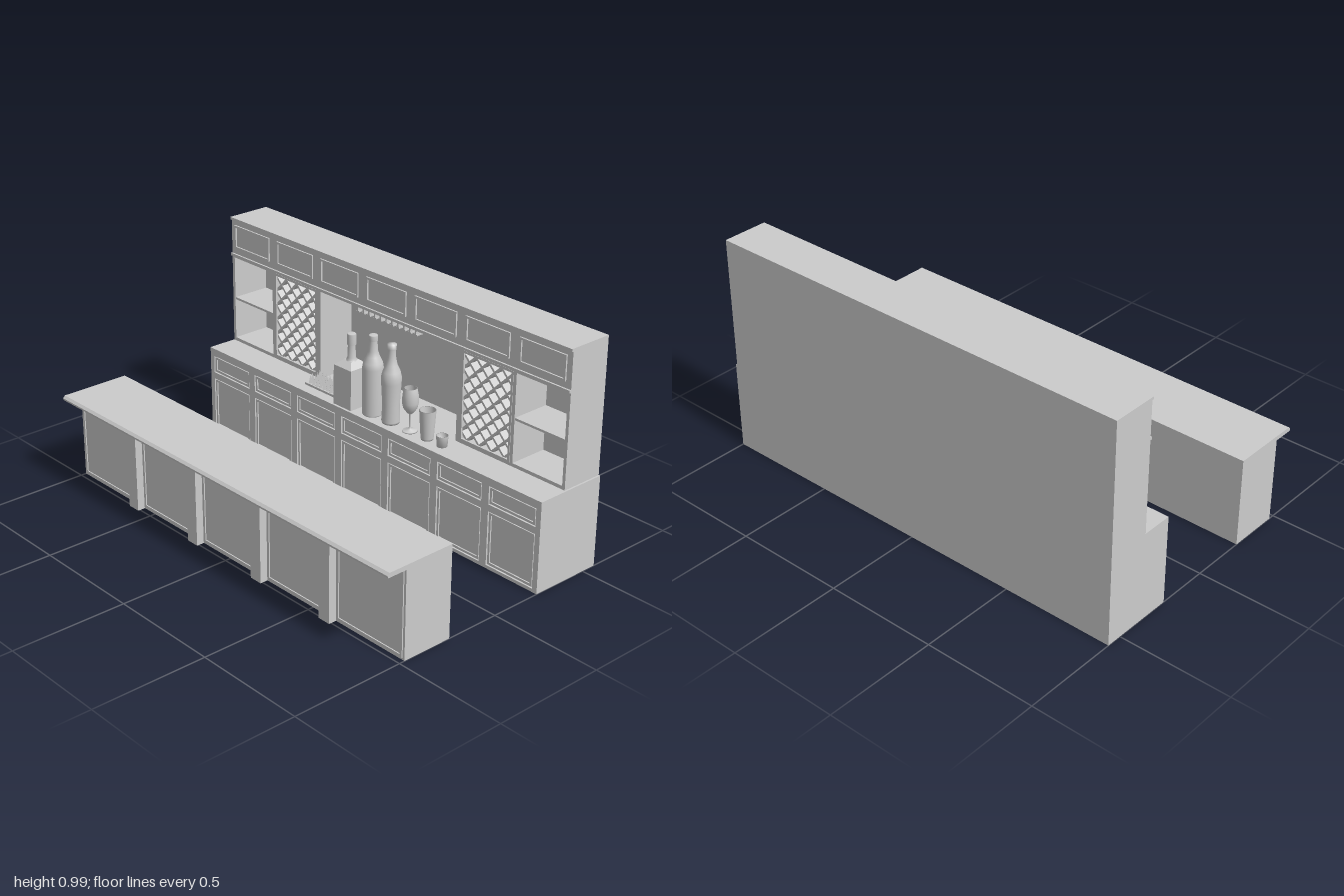
import * as THREE from 'three';

const mat = new THREE.MeshStandardMaterial({ color: 0xcccccc, side: THREE.DoubleSide });

function add(parent, name, geo, x = 0, y = 0, z = 0) {
  const m = new THREE.Mesh(geo, mat);
  m.name = name;
  m.position.set(x, y, z);
  parent.add(m);
  return m;
}

// Box given by its limits on each axis
function box(parent, name, x0, x1, y0, y1, z0, z1) {
  return add(parent, name, new THREE.BoxGeometry(x1 - x0, y1 - y0, z1 - z0),
    (x0 + x1) / 2, (y0 + y1) / 2, (z0 + z1) / 2);
}

// Box without its underside
function shell(parent, name, ...limits) {
  const m = box(parent, name, ...limits);
  const index = Array.from(m.geometry.index.array);
  index.splice(18, 6);
  m.geometry.setIndex(index);
  return m;
}

function rectPath(Type, [x0, x1, y0, y1]) {
  const p = new Type();
  p.moveTo(x0, y0);
  p.lineTo(x1, y0);
  p.lineTo(x1, y1);
  p.lineTo(x0, y1);
  p.closePath();
  return p;
}

// Flat board with rectangular openings, from z0 to z1
function board(parent, name, outer, holes, z0, z1) {
  const s = rectPath(THREE.Shape, outer);
  s.holes = holes.map((h) => rectPath(THREE.Path, h));
  const geo = new THREE.ExtrudeGeometry(s, { depth: z1 - z0, bevelEnabled: false });
  return add(parent, name, geo, 0, 0, z0);
}

function frame(parent, name, [x0, x1, y0, y1], t, z0, z1) {
  return board(parent, name, [x0, x1, y0, y1], [[x0 + t, x1 - t, y0 + t, y1 - t]], z0, z1);
}

function lathe(parent, name, pts, x, z) {
  const curve = pts.map(([r, y]) => new THREE.Vector2(r, y));
  return add(parent, name, new THREE.LatheGeometry(curve, 32), x, 0.4, z);
}

function group(parent, name) {
  const g = new THREE.Group();
  g.name = name;
  parent.add(g);
  return g;
}

// Front serving bar with overhanging top, framed panels and pilasters
function buildBar(root) {
  const bar = group(root, 'servingBar');
  shell(bar, 'barBody', -1, 1, 0, 0.385, 0.245, 0.475);
  const top = new THREE.Shape();
  [[0.245, 0.38], [0.565, 0.38], [0.568, 0.39], [0.558, 0.4], [0.245, 0.4]]
    .forEach(([z, y], i) => (i ? top.lineTo(-z, y) : top.moveTo(-z, y)));
  const topGeo = new THREE.ExtrudeGeometry(top, { depth: 2, bevelEnabled: false });
  add(bar, 'barTop', topGeo, -1).rotation.y = Math.PI / 2;
  for (let i = 0; i < 5; i++) {
    const c = (i - 2) * 0.4;
    const x0 = i === 0 ? -0.99 : c - 0.165;
    const x1 = i === 4 ? 0.99 : c + 0.165;
    frame(bar, 'barPanelFrame', [x0, x1, 0.01, 0.37], 0.012, 0.47, 0.48);
    if (i < 4) box(bar, 'pilaster', c + 0.17, c + 0.23, 0, 0.38, 0.47, 0.51);
  }
}

// Lower back cabinet with seven drawers above seven doors
function buildBase(root) {
  const base = group(root, 'backCabinetBase');
  shell(base, 'baseBody', -1, 1, 0, 0.4, -0.568, -0.24);
  box(base, 'counterEdge', -1, 1, 0.385, 0.4, -0.25, -0.232);
  const openings = [];
  for (let i = 0; i < 7; i++) {
    const c = (i - 3) * 0.284;
    openings.push([c - 0.123, c + 0.123, 0.285, 0.365], [c - 0.123, c + 0.123, 0.015, 0.255]);
  }
  board(base, 'faceFrame', [-1, 1, 0, 0.385], openings, -0.242, -0.232);
  openings.forEach(([x0, x1, y0, y1], i) => {
    const inner = [x0 + 0.005, x1 - 0.005, y0 + 0.005, y1 - 0.005];
    frame(base, i % 2 ? 'doorFrame' : 'drawerFrame', inner, 0.01, -0.242, -0.234);
  });
}

// Diagonal bottle lattice clipped to a rectangle
function buildLattice(parent, x0, x1, y0, y1) {
  const rack = group(parent, 'bottleLattice');
  const w = x1 - x0, h = y1 - y0, step = 0.068;
  for (let c = -w + step / 2; c < h; c += step) {
    const a = Math.max(0, -c), b = Math.min(w, h - c);
    if (b - a < 0.01) continue;
    for (const dir of [1, -1]) {
      const mid = (a + b) / 2;
      const geo = new THREE.BoxGeometry((b - a) * Math.SQRT2, 0.01, 0.165);
      const x = dir > 0 ? x0 + mid : x1 - mid;
      add(rack, 'latticeSlat', geo, x, y0 + mid + c, -0.458).rotation.z = dir * Math.PI / 4;
    }
  }
  frame(rack, 'latticeFrame', [x0 - 0.004, x1 + 0.004, y0 - 0.004, y1 + 0.004], 0.01, -0.38, -0.368);
}

// Upper cabinet: side shelves, lattices, central niche and framed top panels
function buildUpper(root) {
  const up = group(root, 'backCabinetUpper');
  const holes = [
    [-0.985, -0.725, 0.415, 0.8], [-0.705, -0.435, 0.415, 0.8], [-0.41, 0.41, 0.4, 0.81],
    [0.435, 0.7, 0.415, 0.8], [0.72, 0.978, 0.415, 0.8],
  ];
  board(up, 'upperCarcass', [-1, 0.992, 0.386, 0.988], holes, -0.55, -0.37);
  box(up, 'upperBack', -1, 0.992, 0.39, 0.988, -0.568, -0.55);
  box(up, 'cornice', -1, 0.992, 0.976, 0.988, -0.372, -0.362);
  box(up, 'lowerMoulding', -1, 0.992, 0.808, 0.82, -0.372, -0.362);
  for (const h of [holes[0], holes[4]]) box(up, 'shelf', h[0], h[1], 0.6, 0.61, -0.55, -0.372);
  for (const h of [holes[1], holes[3]]) buildLattice(up, ...h);
  for (let i = 0; i < 7; i++) {
    const c = -0.005 + (i - 3) * 0.2845;
    frame(up, 'topPanelFrame', [c - 0.117, c + 0.117, 0.848, 0.955], 0.009, -0.375, -0.363);
  }
  // T-shaped rails for hanging stemware
  for (let i = 0; i < 11; i++) {
    const x = -0.18 + i * 0.0345;
    box(up, 'hangerStem', x - 0.004, x + 0.004, 0.785, 0.812, -0.52, -0.372);
    box(up, 'hangerLip', x - 0.008, x + 0.008, 0.78, 0.786, -0.52, -0.372);
  }
}

// Spiked drying mat, bottles and glasses on the counter
function buildTableware(root) {
  const ware = group(root, 'tableware');
  box(ware, 'matBase', -0.41, -0.21, 0.4, 0.41, -0.368, -0.282);
  for (let r = 0; r < 4; r++) {
    for (let i = 0; i < 9 - (r % 2); i++) {
      const spike = new THREE.ConeGeometry(0.011, 0.042, 4).toNonIndexed();
      spike.computeVertexNormals();
      add(ware, 'matSpike', spike, -0.398 + i * 0.022 + (r % 2) * 0.011, 0.43, -0.356 + r * 0.021);
    }
  }

  // Square decanter
  const z = -0.295;
  box(ware, 'decanterBody', -0.183, -0.077, 0.4, 0.58, z - 0.052, z + 0.052);
  const shoulder = new THREE.CylinderGeometry(0.03, 0.075, 0.025, 4, 1).rotateY(Math.PI / 4).toNonIndexed();
  shoulder.computeVertexNormals();
  add(ware, 'decanterShoulder', shoulder, -0.13, 0.5925, z);
  lathe(ware, 'decanterNeck', [[0.026, 0.2], [0.018, 0.215], [0.016, 0.27], [0.019, 0.272],
    [0.019, 0.318], [0.017, 0.321], [0, 0.321]], -0.13, z);

  // Round bottles
  lathe(ware, 'bottle', [[0, 0], [0.04, 0], [0.044, 0.006], [0.045, 0.21], [0.041, 0.235], [0.028, 0.262],
    [0.02, 0.285], [0.017, 0.33], [0.019, 0.331], [0.019, 0.352], [0.017, 0.355], [0, 0.355]], 0, z);
  lathe(ware, 'waistedBottle', [[0, 0], [0.036, 0], [0.039, 0.01], [0.036, 0.08], [0.042, 0.18], [0.043, 0.205],
    [0.037, 0.23], [0.024, 0.26], [0.018, 0.29], [0.016, 0.325], [0.019, 0.326], [0.019, 0.35],
    [0, 0.352]], 0.11, z);

  // Glasses
  lathe(ware, 'wineGlass', [[0, 0], [0.032, 0], [0.03, 0.004], [0.006, 0.01], [0.004, 0.02], [0.004, 0.075],
    [0.015, 0.085], [0.029, 0.105], [0.035, 0.13], [0.033, 0.165], [0.027, 0.193], [0.025, 0.193],
    [0.031, 0.165], [0.033, 0.13], [0.027, 0.107], [0, 0.087]], 0.223, z);
  lathe(ware, 'tumbler', [[0, 0], [0.025, 0], [0.027, 0.008], [0.035, 0.13], [0.032, 0.13],
    [0.024, 0.012], [0, 0.012]], 0.323, z);
  lathe(ware, 'smallGlass', [[0, 0], [0.022, 0], [0.025, 0.047], [0.023, 0.047],
    [0.02, 0.008], [0, 0.008]], 0.408, z);
}

export function createModel() {
  const root = new THREE.Group();
  root.name = 'barCounter';
  buildBar(root);
  buildBase(root);
  buildUpper(root);
  buildTableware(root);
  return root;
}
